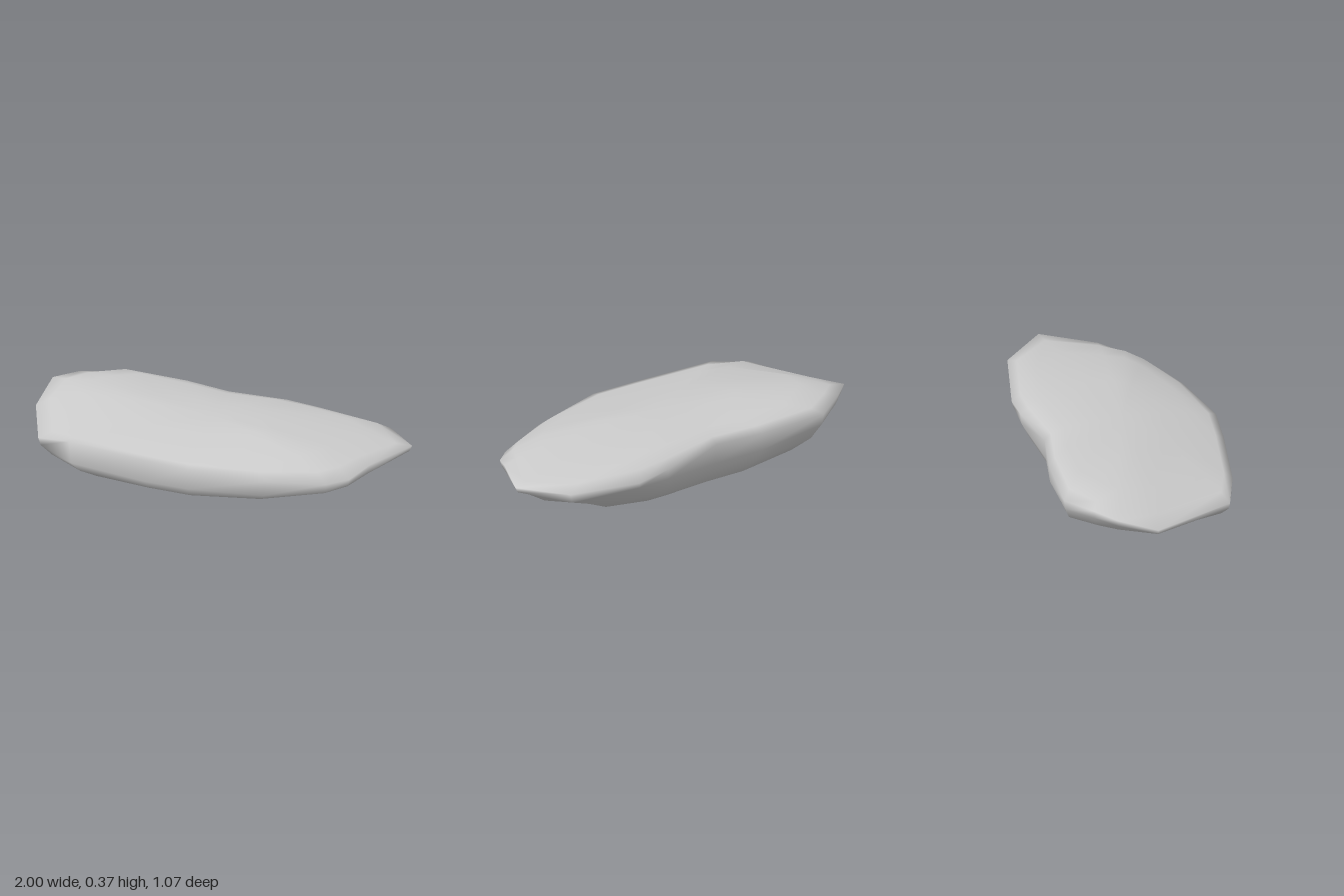
import * as THREE from 'three';

// Rim of the flat stone: x, z, upper edge height, lower edge height
const rim = [
  [-1, -0.10, 0.32, 0.28], [-0.91, -0.22, 0.33, 0.28], [-0.76, -0.36, 0.31, 0.25],
  [-0.39, -0.41, 0.30, 0.20], [-0.12, -0.41, 0.29, 0.18], [0.20, -0.51, 0.26, 0.20],
  [0.38, -0.54, 0.23, 0.20], [0.77, -0.53, 0.24, 0.19], [1, -0.35, 0.25, 0.22],
  [0.92, -0.05, 0.23, 0.18], [0.88, 0.09, 0.19, 0.15], [0.80, 0.19, 0.18, 0.13],
  [0.53, 0.36, 0.20, 0.12], [0.15, 0.50, 0.24, 0.13], [-0.10, 0.52, 0.25, 0.13],
  [-0.54, 0.53, 0.27, 0.15], [-0.74, 0.50, 0.24, 0.20], [-0.98, 0.11, 0.24, 0.21],
];

// Heights of the crown and the belly along x
const crown = [[-1, 0.32], [-0.8, 0.365], [-0.65, 0.377], [-0.3, 0.355], [0.4, 0.33], [0.8, 0.29], [1, 0.25]];
const belly = [[-1, 0.20], [-0.75, 0.12], [-0.45, 0.055], [0, 0.018], [0.2, 0], [0.53, 0.02], [0.77, 0.075], [1, 0.21]];

function sample(profile, x) {
  for (let i = 1; i < profile.length; i++) {
    const [x0, y0] = profile[i - 1], [x1, y1] = profile[i];
    if (x <= x1) return y0 + (y1 - y0) * Math.max(0, (x - x0) / (x1 - x0));
  }
  return profile[profile.length - 1][1];
}

// The crown falls away to the front; the belly rises to both front and back
const topHeight = (x, z) => sample(crown, x) - 0.19 * Math.max(0, z - 0.06);
function bottomHeight(x, z) {
  const frontLift = Math.min(0.045, 0.15 * Math.max(0, z + 0.04)) * THREE.MathUtils.smoothstep(x, -0.45, 0.2);
  const backLift = 0.6 * Math.max(0, -z - 0.32);
  return sample(belly, x) + frontLift + backLift;
}

// Rings from crown to belly: [scale, blend from rim to crown or belly, is upper half]
const rings = [
  [0.4, 1, true], [0.75, 0.9, true], [0.92, 0.55, true], [1, 0, true],
  [0.985, 0, false], [0.92, 0.57, false], [0.8, 0.9, false], [0.61, 1, false], [0.3, 1, false],
];

function stoneGeometry() {
  const n = rim.length;
  const positions = [0, topHeight(0, 0), 0];
  const index = [];
  for (const [s, w, upper] of rings) {
    for (const [rx, rz, hi, lo] of rim) {
      const x = rx * s, z = rz * s;
      const y = upper
        ? THREE.MathUtils.lerp(hi, topHeight(x, z), w)
        : THREE.MathUtils.lerp(lo, bottomHeight(x, z), w);
      positions.push(x, y, z);
    }
  }
  const last = positions.length / 3;
  positions.push(0, bottomHeight(0, 0), 0);

  const at = (r, i) => 1 + r * n + (i % n);
  for (let i = 0; i < n; i++) {
    index.push(0, at(0, i + 1), at(0, i));
    for (let r = 0; r < rings.length - 1; r++) {
      const a = at(r, i), b = at(r, i + 1), c = at(r + 1, i), d = at(r + 1, i + 1);
      index.push(a, d, c, a, b, d);
    }
    index.push(at(rings.length - 1, i), at(rings.length - 1, i + 1), last);
  }

  const geometry = new THREE.BufferGeometry();
  geometry.setAttribute('position', new THREE.Float32BufferAttribute(positions, 3));
  geometry.setIndex(index);
  geometry.computeVertexNormals();
  return geometry;
}

export function createModel() {
  const group = new THREE.Group();
  group.name = 'flatRock';
  const stone = new THREE.Mesh(stoneGeometry(), new THREE.MeshStandardMaterial({ color: 0xcccccc }));
  stone.name = 'stone';
  group.add(stone);
  return group;
}
